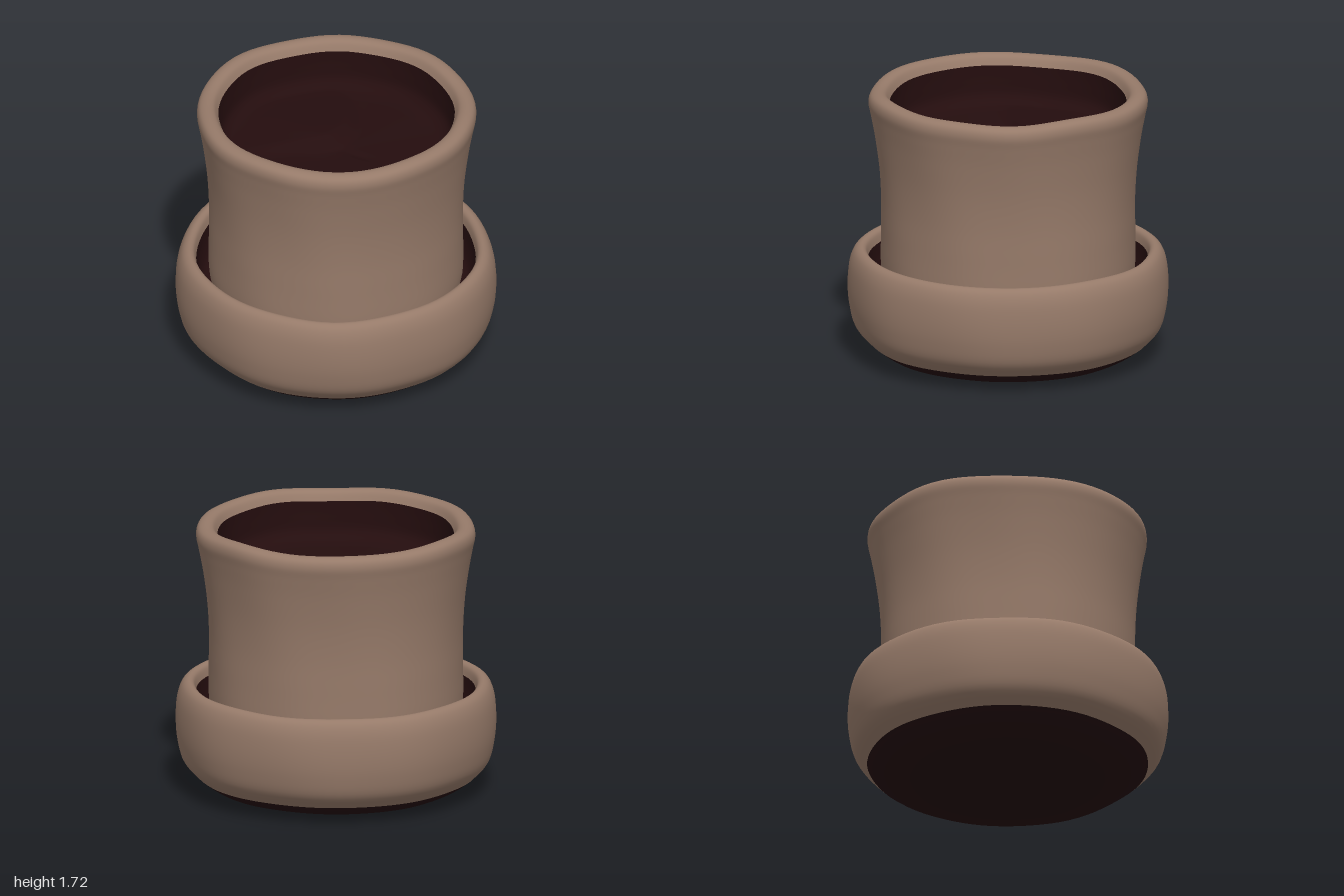
import * as THREE from 'three';
import { mergeVertices } from 'three/addons/utils/BufferGeometryUtils.js';

const clay = new THREE.MeshStandardMaterial({ color: 0x967a69 });
clay.name = 'clay';
const soilDark = new THREE.MeshStandardMaterial({ color: 0x240d0e });
soilDark.name = 'darkSoil';

// Smooth profile through [radius, height] pairs
function profile(pairs, steps) {
  const curve = new THREE.SplineCurve(pairs.map(([r, y]) => new THREE.Vector2(r, y)));
  return curve.getPoints(steps).map((p) => new THREE.Vector2(Math.max(p.x, 0), Math.max(p.y, 0)));
}

// Lathe with a gentle hand-shaped wobble; lift adds extra height at (x, z)
function turned(name, points, material, lift) {
  const geo = new THREE.LatheGeometry(points, 80);
  const pos = geo.attributes.position;
  for (let i = 0; i < pos.count; i++) {
    const x = pos.getX(i), y = pos.getY(i), z = pos.getZ(i);
    const a = Math.atan2(z, x);
    const s = 1 + 0.004 * Math.sin(5 * a + 2 * y) + 0.003 * Math.sin(9 * a - 3 * y);
    const dy = y * (0.004 * Math.sin(4 * a + 1) + 0.003 * Math.sin(7 * a)) * Math.min(1, Math.hypot(x, z));
    pos.setXYZ(i, x * s, y + dy + (lift ? lift(x, z) : 0), z * s);
  }
  geo.deleteAttribute('uv');
  geo.deleteAttribute('normal');
  const merged = mergeVertices(geo, 1e-4);
  merged.computeVertexNormals();
  const mesh = new THREE.Mesh(merged, material);
  mesh.name = name;
  return mesh;
}

// Soft fold across the soil with a hollow in front of it
function soilFold(x, z) {
  const r = Math.hypot(x, z);
  if (r > 0.66) return 0;
  const fade = Math.pow(1 - r / 0.66, 0.7);
  const edge = x < 0.15 ? -0.06 + 0.75 * Math.min(x - 0.05, 0) : -0.06 - 2.2 * (x - 0.15) ** 2;
  const step = THREE.MathUtils.smoothstep(edge - z, -0.09, 0.05);
  const hollow = Math.exp(-((x + 0.12) ** 2 + (z + 0.02) ** 2) / 0.03);
  const crease = Math.exp(-((x - 0.04) ** 2) / 0.0008 - ((z - 0.17) ** 2) / 0.012);
  return fade * (0.07 * step - 0.03 * hollow - 0.015 * crease);
}

export function createModel() {
  const model = new THREE.Group();
  model.name = 'flowerPot';

  // Saucer: dark underside, clay wall with rolled lip, dark inside
  const saucer = new THREE.Group();
  saucer.name = 'saucer';
  saucer.add(
    turned('saucerBase', profile([[0, 0], [0.3, 0], [0.58, 0.008], [0.76, 0.04], [0.87, 0.11]], 24), soilDark),
    turned('saucerWall', profile([[0.87, 0.11], [0.95, 0.2], [0.983, 0.32], [0.993, 0.45], [0.983, 0.58],
      [0.955, 0.66], [0.915, 0.69], [0.88, 0.675], [0.865, 0.62]], 40), clay),
    turned('saucerInside', profile([[0.865, 0.62], [0.855, 0.52], [0.82, 0.44], [0.74, 0.41]], 14), soilDark)
  );

  // Pot: flared clay body with a rounded rim, filled with soil
  const pot = new THREE.Group();
  pot.name = 'pot';
  pot.add(
    turned('potBody', profile([[0.75, 0.4], [0.785, 0.55], [0.787, 0.8], [0.787, 1.02], [0.799, 1.22], [0.825, 1.42],
      [0.85, 1.56], [0.865, 1.64], [0.85, 1.69], [0.805, 1.709], [0.76, 1.695], [0.732, 1.645]], 60), clay)
  );
  const soil = [
    ...profile([[0.732, 1.645], [0.728, 1.55], [0.715, 1.46], [0.66, 1.41], [0.58, 1.395]], 20),
    ...profile([[0.58, 1.395], [0.3, 1.385], [0, 1.38]], 36).slice(1),
  ];
  pot.add(turned('soil', soil, soilDark, soilFold));

  model.add(saucer, pot);
  return model;
}
